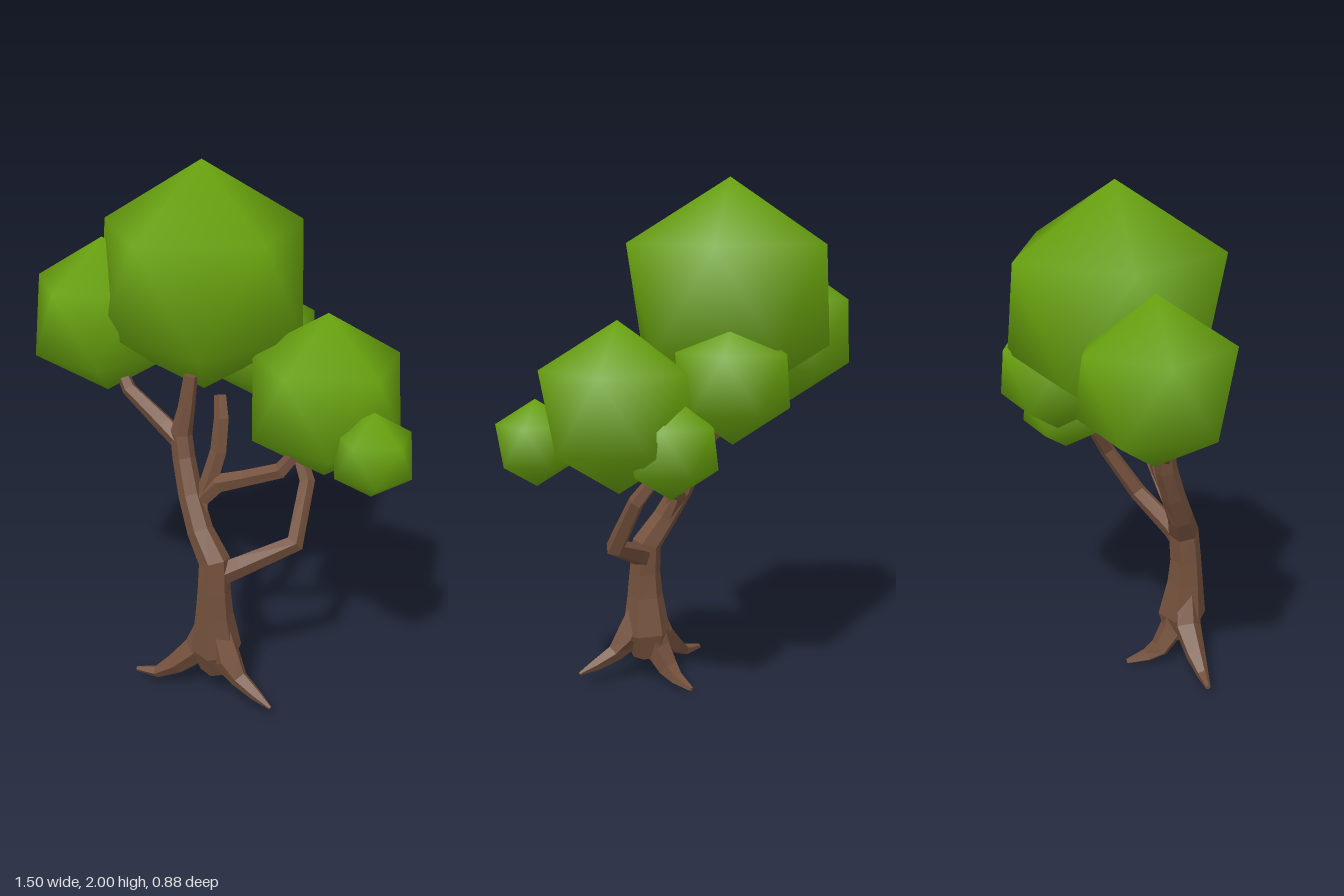
import * as THREE from 'three';
import { mergeVertices } from 'three/addons/utils/BufferGeometryUtils.js';

const bark = new THREE.MeshStandardMaterial({ name: 'bark brown', color: 0x73503c, flatShading: true });
const leaf = new THREE.MeshStandardMaterial({ name: 'leaf green', color: 0x69a30e });

// Tapered faceted limb through a list of [x, y, z, radius], capped at both ends
function limb(name, nodes, sides = 5) {
  const pts = nodes.map(n => new THREE.Vector3(n[0], n[1], n[2]));
  const last = pts.length - 1;
  const pos = [], idx = [];
  let side = null;
  pts.forEach((p, i) => {
    const dir = new THREE.Vector3();
    if (i > 0) dir.add(p.clone().sub(pts[i - 1]).normalize());
    if (i < last) dir.add(pts[i + 1].clone().sub(p).normalize());
    dir.normalize();
    // carry the cross-section along the path without twisting it
    if (!side) side = new THREE.Vector3(0.31, 0.1, 0.95);
    side = side.clone().addScaledVector(dir, -side.dot(dir)).normalize();
    const up = new THREE.Vector3().crossVectors(dir, side);
    for (let k = 0; k < sides; k++) {
      const a = (k / sides) * Math.PI * 2;
      const v = p.clone()
        .addScaledVector(side, Math.cos(a) * nodes[i][3])
        .addScaledVector(up, Math.sin(a) * nodes[i][3]);
      pos.push(v.x, Math.max(v.y, 0), v.z);
    }
  });
  for (let i = 0; i < last; i++) {
    for (let k = 0; k < sides; k++) {
      const a = i * sides + k, b = i * sides + (k + 1) % sides;
      idx.push(a, b, b + sides, a, b + sides, a + sides);
    }
  }
  for (let k = 1; k < sides - 1; k++) {
    const e = last * sides;
    idx.push(0, k + 1, k, e, e + k, e + k + 1);
  }
  const indexed = new THREE.BufferGeometry();
  indexed.setAttribute('position', new THREE.Float32BufferAttribute(pos, 3));
  indexed.setIndex(idx);
  const geo = indexed.toNonIndexed();
  geo.computeVertexNormals();
  const mesh = new THREE.Mesh(geo, bark);
  mesh.name = name;
  return mesh;
}

// Twelve-cornered leaf ball standing on a corner, with smooth normals
function leafBall(name, x, y, z, r) {
  let geo = new THREE.IcosahedronGeometry(r, 0);
  geo.deleteAttribute('normal');
  geo.deleteAttribute('uv');
  geo = mergeVertices(geo);
  geo.rotateX(-Math.atan((1 + Math.sqrt(5)) / 2));
  geo.computeVertexNormals();
  const mesh = new THREE.Mesh(geo, leaf);
  mesh.name = name;
  mesh.position.set(x, y, z);
  return mesh;
}

export function createModel() {
  const tree = new THREE.Group();
  tree.name = 'tree';

  // Trunk, leaning to the right side as it rises
  const wood = new THREE.Group();
  wood.name = 'wood';
  wood.add(
    limb('trunk', [
      [0.085, 0.1, 0.24, 0.06], [0.09, 0.2, 0.245, 0.098], [0.09, 0.35, 0.255, 0.073],
      [0.09, 0.45, 0.255, 0.063], [0.085, 0.57, 0.245, 0.06], [0.01, 0.67, 0.235, 0.05],
      [-0.055, 0.79, 0.21, 0.046], [-0.105, 0.92, 0.185, 0.043], [-0.125, 1.01, 0.175, 0.042],
      [-0.105, 1.12, 0.165, 0.032], [-0.095, 1.24, 0.15, 0.026],
    ], 6),

    // Roots
    limb('rightRoot', [
      [0.07, 0.3, 0.26, 0.05], [0.02, 0.18, 0.27, 0.057], [-0.06, 0.1, 0.31, 0.042],
      [-0.13, 0.05, 0.345, 0.024], [-0.21, 0.045, 0.37, 0.01],
    ]),
    limb('leftRoot', [
      [0.11, 0.3, 0.255, 0.05], [0.16, 0.18, 0.265, 0.06], [0.22, 0.12, 0.27, 0.036],
      [0.3, 0.082, 0.272, 0.024], [0.37, 0.053, 0.275, 0.007],
    ]),
    limb('backRoot', [
      [0.085, 0.28, 0.235, 0.055], [0.06, 0.14, 0.21, 0.055], [0.03, 0.06, 0.16, 0.042],
      [0.015, 0.03, 0.11, 0.028], [-0.01, 0.01, 0.03, 0.01],
    ]),

    // Branches
    limb('rightBranch', [
      [-0.11, 0.97, 0.18, 0.035], [-0.2, 1.03, 0.18, 0.037],
      [-0.38, 1.13, 0.175, 0.029], [-0.43, 1.21, 0.17, 0.024],
    ]),
    limb('middleBranch', [
      [-0.0, 0.66, 0.23, 0.035], [-0.025, 0.77, 0.19, 0.038], [0.03, 0.84, 0.15, 0.038],
      [0.12, 0.87, 0.11, 0.032], [0.25, 0.92, 0.06, 0.031], [0.29, 0.98, 0.035, 0.026],
    ]),
    limb('middleTwig', [
      [-0.02, 0.78, 0.185, 0.03], [0.0, 0.86, 0.155, 0.035], [0.015, 0.96, 0.125, 0.033],
      [0.01, 1.08, 0.1, 0.03], [-0.015, 1.16, 0.075, 0.024],
    ]),
    limb('backBranch', [
      [0.09, 0.51, 0.25, 0.045], [0.16, 0.55, 0.19, 0.042], [0.305, 0.63, 0.04, 0.037],
      [0.27, 0.83, -0.085, 0.031], [0.18, 0.96, -0.13, 0.024],
    ]),
  );

  // Foliage
  const crown = new THREE.Group();
  crown.name = 'crown';
  crown.add(
    leafBall('topLeaves', -0.155, 1.566, 0, 0.434),
    leafBall('rightLeaves', -0.494, 1.402, 0.172, 0.301),
    leafBall('leftLeaves', 0.34, 1.186, -0.092, 0.315),
    leafBall('leftSmallLeaves', 0.612, 1.064, 0.02, 0.159),
    leafBall('backLeaves', -0.05, 1.28, -0.23, 0.236),
    leafBall('backSmallLeaves', 0.2, 1.055, -0.24, 0.19),
  );

  tree.add(wood, crown);
  return tree;
}
